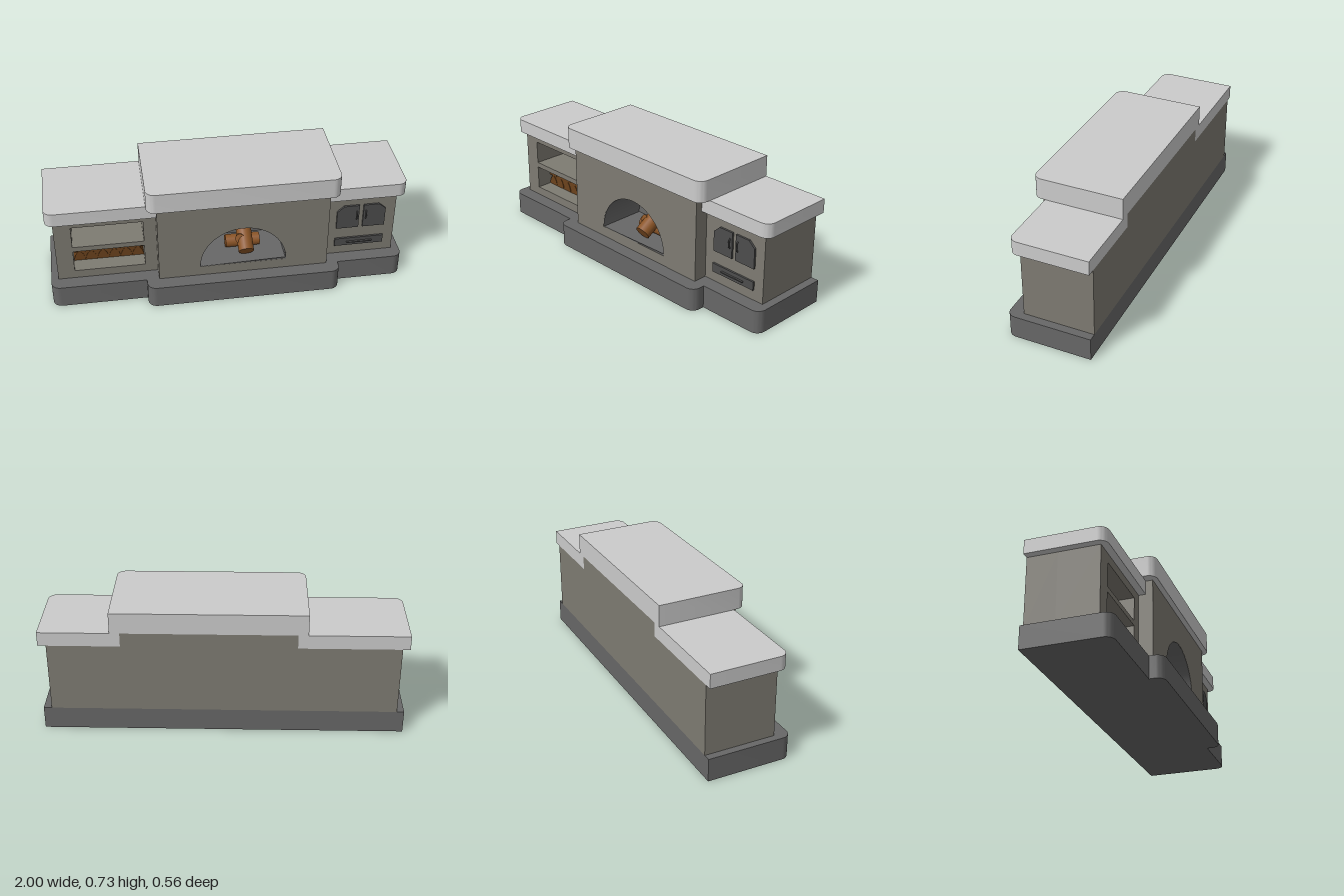
import * as THREE from 'three';
import { toCreasedNormals } from 'three/addons/utils/BufferGeometryUtils.js';

const mat = (color) => new THREE.MeshStandardMaterial({ color });
const MATS = {
  slab: mat(0xcccccc), stone: mat(0x676767), wall: mat(0x7e7b72),
  iron: mat(0x4c4c4c), log: mat(0x8a5426), firewood: mat(0x6b421c),
};
const BACK = -0.28;

export function createModel() {
  const model = new THREE.Group();

  const add = (name, geometry, material, parent = model) => {
    const mesh = new THREE.Mesh(geometry, material);
    mesh.name = name;
    parent.add(mesh);
    return mesh;
  };
  const group = (name) => {
    const g = new THREE.Group();
    g.name = name;
    model.add(g);
    return g;
  };
  // Box given by its limits
  const box = (name, x0, x1, y0, y1, z0, z1, material, parent) =>
    add(name, new THREE.BoxGeometry(x1 - x0, y1 - y0, z1 - z0), material, parent)
      .position.set((x0 + x1) / 2, (y0 + y1) / 2, (z0 + z1) / 2);
  // Outline from corners [x, y, radius]
  const outline = (corners) => {
    const s = new THREE.Shape();
    corners.forEach(([x, y, r = 0], i) => {
      const n = corners.length;
      const p = new THREE.Vector2(x, y);
      const toward = (c) => new THREE.Vector2(c[0], c[1]).sub(p).normalize().multiplyScalar(r).add(p);
      const a = toward(corners[(i + n - 1) % n]);
      const b = toward(corners[(i + 1) % n]);
      if (i === 0) s.moveTo(a.x, a.y); else s.lineTo(a.x, a.y);
      if (r) {
        const k = 0.552;
        s.bezierCurveTo(a.x + (x - a.x) * k, a.y + (y - a.y) * k,
          b.x + (x - b.x) * k, b.y + (y - b.y) * k, b.x, b.y);
      }
    });
    return s;
  };
  const rect = (x0, x1, y0, y1) => outline([[x0, y0], [x1, y0], [x1, y1], [x0, y1]]);
  // Vertical extrusion of a plan given as [x, z, radius]
  const plan = (name, corners, y0, y1, material) => {
    const g = new THREE.ExtrudeGeometry(outline(corners.map(([x, z, r]) => [x, -z, r])),
      { depth: y1 - y0, bevelEnabled: false, curveSegments: 10 });
    g.rotateX(-Math.PI / 2).translate(0, y0, 0);
    return add(name, toCreasedNormals(g, 0.5), material);
  };
  // Extrusion of a front outline between two depths
  const front = (name, shape, z0, z1, material, parent) => {
    const g = new THREE.ExtrudeGeometry(shape,
      { depth: z1 - z0, bevelEnabled: false, curveSegments: 32 });
    g.translate(0, 0, z0);
    return add(name, toCreasedNormals(g, 0.5), material, parent);
  };

  // Stepped base
  const R = 0.05;
  plan('base', [[-1, BACK], [-1, 0.2, R], [-0.47, 0.2], [-0.47, 0.28, R],
    [0.62, 0.28, R], [0.62, 0.2], [1, 0.2, R], [1, BACK]], 0, 0.13, MATS.stone);

  // Worktops
  plan('leftWorktop', [[0.555, BACK], [0.555, 0.16], [1, 0.16, R], [1, BACK]], 0.53, 0.61, MATS.slab);
  plan('rightWorktop', [[-1, BACK], [-1, 0.16, R], [-0.4, 0.16], [-0.4, BACK]], 0.53, 0.61, MATS.slab);
  plan('centreTop', [[-0.455, BACK], [-0.455, 0.23, R], [0.61, 0.23, R], [0.61, BACK]], 0.61, 0.73, MATS.slab);

  // Wing with two niches
  const wing = rect(-0.96, -0.4, 0.13, 0.53);
  wing.holes.push(rect(-0.865, -0.47, 0.345, 0.48), rect(-0.865, -0.47, 0.18, 0.315));
  front('shelfWing', wing, -0.11, 0.12, MATS.wall);
  box('shelfWingBack', -0.96, -0.4, 0.13, 0.53, BACK, -0.11, MATS.wall);

  // Wing with doors
  box('cupboardWing', 0.555, 0.955, 0.13, 0.53, BACK, 0.12, MATS.wall);

  // Oven block with an arched opening
  const cx = 0.075, floorY = 0.19;
  const arch = (r) => new THREE.Shape().absarc(cx, floorY, r, 0, Math.PI);
  const block = rect(-0.4, 0.555, 0.13, 0.61);
  block.holes.push(arch(0.245));
  front('ovenBlock', block, -0.08, 0.2, MATS.wall);
  box('ovenBlockBack', -0.4, 0.555, 0.13, 0.61, BACK, -0.08, MATS.wall);
  front('ovenBackPlate', arch(0.245), -0.08, -0.076, MATS.stone);
  const lining = arch(0.245);
  lining.holes.push(new THREE.Path().absarc(cx, floorY + 0.001, 0.242, 0, Math.PI));
  front('ovenLining', lining, -0.078, 0.199, MATS.stone);

  // Logs in the oven, each between two points
  const logs = group('ovenLogs');
  [
    [[-0.005, 0.229, 0.04], [0.19, 0.229, 0.04], 0.037],
    [[0.1, 0.23, 0.15], [0.1, 0.315, 0.02], 0.044],
    [[0.07, 0.29, 0.11], [0.11, 0.24, -0.02], 0.028],
  ].forEach(([from, to, r]) => {
    const a = new THREE.Vector3(...from), b = new THREE.Vector3(...to);
    const log = add('log', new THREE.CylinderGeometry(r, r, a.distanceTo(b), 20), MATS.log, logs);
    log.position.copy(a).lerp(b, 0.5);
    log.quaternion.setFromUnitVectors(new THREE.Vector3(0, 1, 0), b.sub(a).normalize());
  });

  // Split firewood stacked in the lower niche, alternate wedges up and down
  const stack = group('firewood');
  const count = 6, pitch = 0.395 / count;
  const wedge = new THREE.Shape().moveTo(-pitch / 2, 0).lineTo(pitch / 2, 0);
  wedge.quadraticCurveTo(pitch * 0.42, 0.045, 0, 0.062);
  wedge.quadraticCurveTo(-pitch * 0.42, 0.045, -pitch / 2, 0);
  const wedgeGeometry = toCreasedNormals(new THREE.ExtrudeGeometry(wedge,
    { depth: 0.14, bevelEnabled: false, curveSegments: 6 }), 0.5);
  for (let i = 0; i < count; i++) {
    const x = -0.865 + pitch * (i + 0.5);
    for (const y of [0.18, 0.238]) {
      add('splitLog', wedgeGeometry, MATS.firewood, stack).position.set(x, y, -0.11);
    }
    if (i) {
      const filler = add('splitLog', wedgeGeometry, MATS.firewood, stack);
      filler.position.set(x - pitch / 2, 0.241, -0.113);
      filler.rotation.z = Math.PI;
    }
  }

  // Cupboard doors with cut outer corners and bow handles
  const midX = 0.757;
  for (const side of [-1, 1]) {
    const doors = group(side < 0 ? 'rightDoor' : 'leftDoor');
    const px = (d) => midX + side * d;
    front('doorPanel', outline([[px(0.012), 0.315], [px(0.139), 0.315], [px(0.139), 0.43],
      [px(0.1), 0.465], [px(0.012), 0.465]]), 0.12, 0.131, MATS.iron, doors);
    const bow = new THREE.CurvePath();
    const pts = [[0.372, 0.129], [0.383, 0.139], [0.417, 0.139], [0.428, 0.129]]
      .map(([y, z]) => new THREE.Vector3(px(0.026), y, z));
    for (let i = 0; i < 3; i++) bow.add(new THREE.LineCurve3(pts[i], pts[i + 1]));
    add('doorHandle', new THREE.TubeGeometry(bow, 18, 0.004, 8), MATS.iron, doors);
  }

  // Drawer
  const drawer = group('drawer');
  box('drawerFront', 0.615, 0.896, 0.19, 0.24, 0.12, 0.131, MATS.iron, drawer);
  box('drawerHandle', 0.683, 0.83, 0.212, 0.218, 0.131, 0.142, MATS.iron, drawer);

  return model;
}
